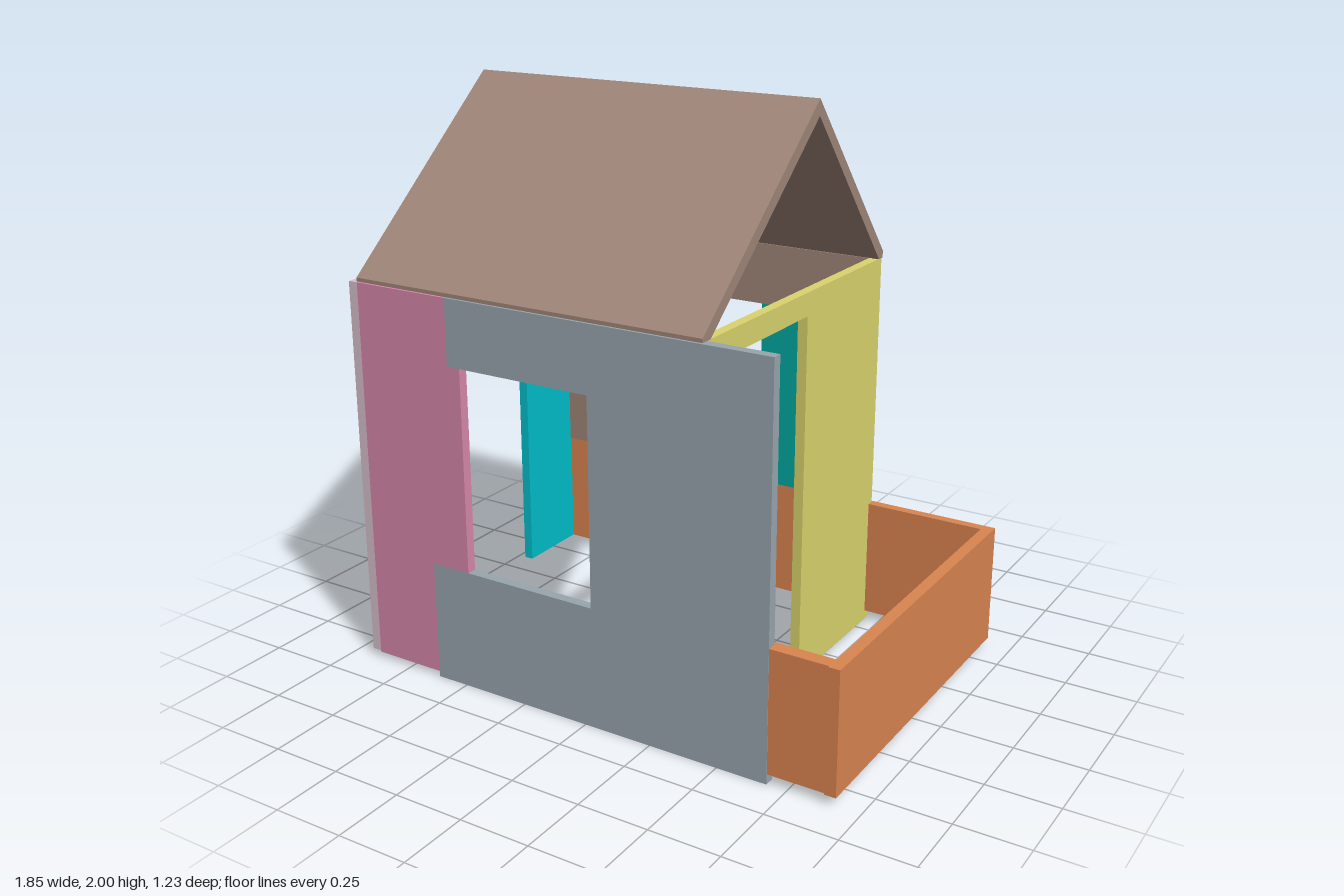
import * as THREE from 'three';

const COLORS = {
  brown: 0xa08679, grey: 0x98a6ae, pink: 0xd888aa, blush: 0xd8bfc9,
  teal: 0x00a8a0, cyan: 0x00bfcc, yellow: 0xdad46c, orange: 0xdb8550,
};

function extrude(points, depth) {
  const shape = new THREE.Shape(points.map(([a, b]) => new THREE.Vector2(a, b)));
  return new THREE.ExtrudeGeometry(shape, { depth, bevelEnabled: false });
}

export function createModel() {
  const house = new THREE.Group();
  house.name = 'playhouse';

  const add = (name, geometry, color, parent = house) => {
    const mesh = new THREE.Mesh(geometry, new THREE.MeshStandardMaterial({ color: COLORS[color] }));
    mesh.name = name;
    parent.add(mesh);
  };
  // Box given by its min and max on each axis
  const box = (name, color, [x0, x1], [y0, y1], [z0, z1], parent) => add(name,
    new THREE.BoxGeometry(x1 - x0, y1 - y0, z1 - z0)
      .translate((x0 + x1) / 2, (y0 + y1) / 2, (z0 + z1) / 2), color, parent);
  // Outline in (x, y), extruded from z0 to z1
  const facing = (name, color, points, z0, z1) =>
    add(name, extrude(points, z1 - z0).translate(0, 0, z0), color);
  // Outline in (z, y), extruded from x0 to x1
  const sideways = (name, color, points, x0, x1) =>
    add(name, extrude(points, x1 - x0).rotateY(-Math.PI / 2).translate(x1, 0, 0), color);

  // Front wall: C-shaped panel and the panel closing the window's other side
  facing('frontWall', 'grey', [
    [-0.62, 0], [0.68, 0], [0.68, 1.38], [-0.52, 1.38],
    [-0.52, 1.15], [0.03, 1.15], [0.03, 0.43], [-0.62, 0.43],
  ], 0.57, 0.605);
  facing('frontCornerPanel', 'pink', [
    [-0.89, 0.02], [-0.62, 0.02], [-0.62, 0.43], [-0.47, 0.43],
    [-0.47, 1.15], [-0.52, 1.15], [-0.52, 1.38], [-0.89, 1.38],
  ], 0.57, 0.605);

  // Side with the wide opening: one panel at each corner
  box('sideFrontPanel', 'blush', [-0.925, -0.89], [0.025, 1.38], [0.18, 0.605]);
  box('sideBackPanel', 'cyan', [-0.925, -0.89], [0.035, 1.38], [-0.615, -0.29]);

  // Back wall: L-shaped panel with lintel, and the panel beside the window
  facing('backWall', 'brown', [
    [-0.89, 0.465], [-0.46, 0.465], [-0.46, 1.16], [0.44, 1.16], [0.44, 1.385], [-0.89, 1.385],
  ], -0.605, -0.57);
  box('backWindowPanel', 'teal', [-0.01, 0.44], [0.465, 1.16], [-0.607, -0.57]);

  // Porch side wall with door lintel
  sideways('porchWall', 'yellow', [
    [-0.6, 0], [-0.05, 0], [-0.05, 1.305], [0.575, 1.305], [0.575, 1.385], [-0.6, 1.385],
  ], 0.41, 0.445);

  // Low rail around the porch, running on as the base of the back wall
  const rail = new THREE.Group();
  rail.name = 'porchRail';
  house.add(rail);
  const railY = [0.035, 0.465];
  box('railBack', 'orange', [-0.89, 0.88], railY, [-0.61, -0.575], rail);
  box('railSide', 'orange', [0.88, 0.92], railY, [-0.61, 0.61], rail);
  box('railFront', 'orange', [0.665, 0.88], railY, [0.555, 0.603], rail);

  // Uneven gable roof, open underneath
  sideways('roof', 'brown', [
    [0.61, 1.385], [0.61, 1.398], [-0.095, 2], [-0.605, 1.41],
    [-0.605, 1.385], [-0.575, 1.385], [-0.095, 1.945], [0.565, 1.385],
  ], -0.885, 0.447);

  return house;
}
